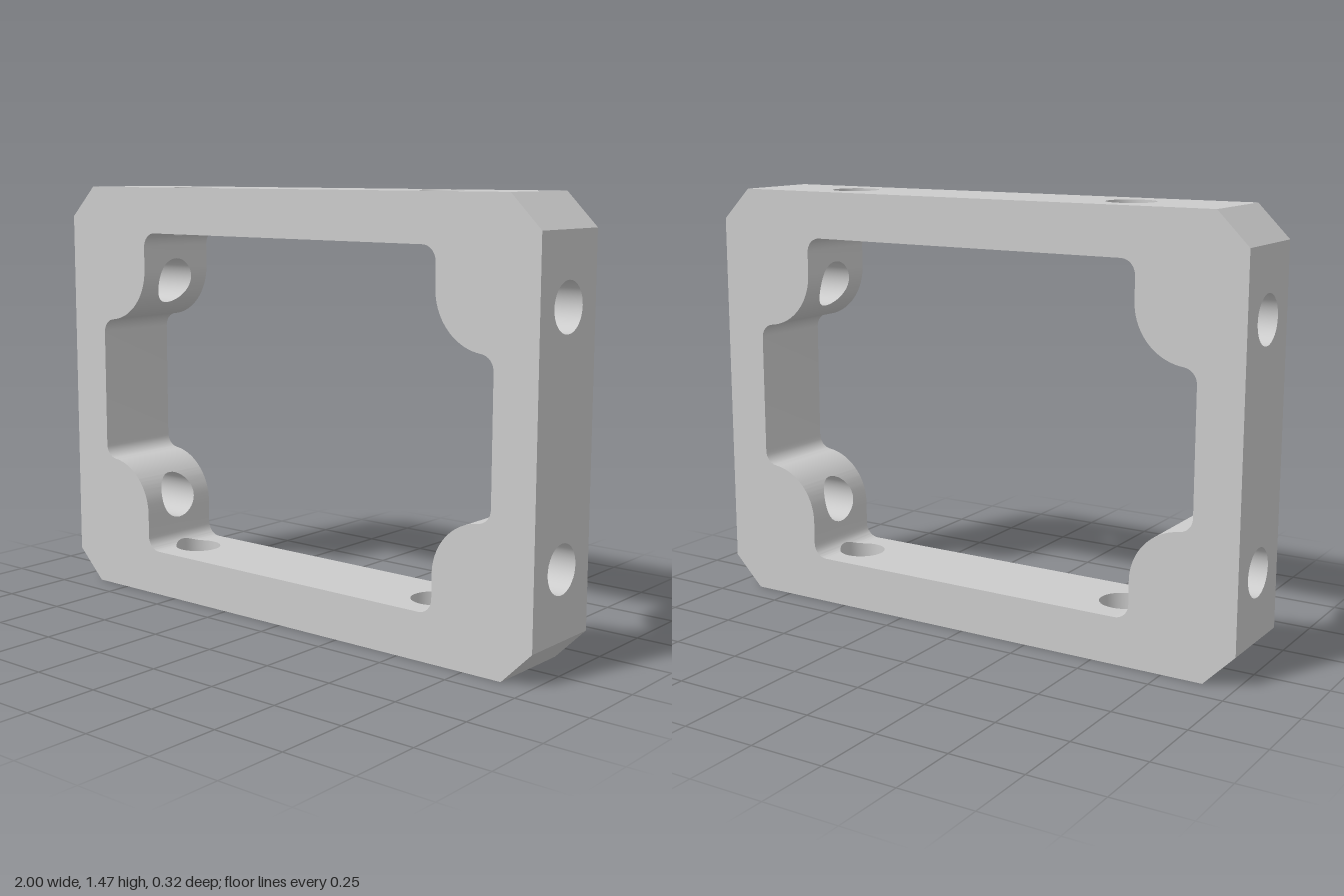
import * as THREE from 'three';
import { toCreasedNormals } from 'three/addons/utils/BufferGeometryUtils.js';

const MID = 0.735;      // half height; profiles are drawn about the centre
const DEPTH = 0.158;    // half thickness
const R = 0.081;        // bolt hole radius
const STEPS = 36;
const HOLE_AT = [0.535, 0.398]; // hole offsets along x (top/bottom) and y (sides)

// Points of an arc, angles in degrees
function arc(cx, cy, r, from, to, n) {
  return Array.from({ length: n + 1 }, (_, i) => {
    const a = THREE.MathUtils.degToRad(from + (to - from) * i / n);
    return [cx + r * Math.cos(a), cy + r * Math.sin(a)];
  });
}

// Lower right quarter mirrored into a closed counter-clockwise loop
function mirrorLoop(quarter) {
  const q = quarter.map(([x, y]) => [x, y - MID]);
  const flip = (sx, sy) => q.map(([x, y]) => [x * sx, y * sy]);
  return [...q, ...flip(1, -1).reverse(), ...flip(-1, -1), ...flip(-1, 1).reverse()];
}

const outer = mirrorLoop([[0.892, 0], [1, 0.108]]);
const inner = mirrorLoop([
  ...arc(0.581, 0.21, 0.05, -90, 0, 8),          // window corner
  ...arc(0.819, 0.29, 0.188, 180, 95.8, 18),     // rounded lobe
  ...arc(0.795, 0.5268, 0.05, -84.2, 0, 8),      // fillet into the side
]);

// Half width in z of the bolt hole at a profile point
function holeHalfWidth(p) {
  let h = 0;
  for (const k of [0, 1]) {
    const d = Math.abs(p[k]) - HOLE_AT[k];
    h = Math.max(h, Math.sqrt(Math.max(0, R * R - d * d)));
  }
  return h < 1e-5 ? 0 : h;
}

// Cut the loop's segments where they cross the hole outlines' sample points
function splitAtHoles(loop) {
  return loop.flatMap((a, i) => {
    const b = loop[(i + 1) % loop.length];
    const cuts = [0];
    for (const k of [0, 1]) for (const s of [-1, 1]) for (let j = 0; j <= STEPS / 2; j++) {
      const v = s * HOLE_AT[k] + R * Math.cos(2 * Math.PI * j / STEPS);
      const t = (v - a[k]) / (b[k] - a[k]);
      if (Math.abs(b[k] - a[k]) > 1e-6 && t > 1e-6 && t < 1 - 1e-6) cuts.push(t);
    }
    return cuts.sort((m, n) => m - n)
      .map(t => [a[0] + (b[0] - a[0]) * t, a[1] + (b[1] - a[1]) * t]);
  });
}

function quad(out, a, b, c, d) {
  out.push(...a, ...b, ...c, ...a, ...c, ...d);
}

function toGeometry(positions) {
  const g = new THREE.BufferGeometry();
  g.setAttribute('position', new THREE.Float32BufferAttribute(positions, 3));
  return toCreasedNormals(g, 0.5);
}

// Band following a loop, leaving the bolt holes open
function wall(loop) {
  const pts = splitAtHoles(loop), out = [];
  pts.forEach((a, i) => {
    const b = pts[(i + 1) % pts.length];
    const ha = holeHalfWidth(a), hb = holeHalfWidth(b);
    quad(out, [...a, -DEPTH], [...b, -DEPTH], [...b, -hb], [...a, -ha]);
    quad(out, [...a, ha], [...b, hb], [...b, DEPTH], [...a, DEPTH]);
  });
  return toGeometry(out);
}

// Where a line along the axis meets the loop on the given side
function hit(loop, axis, v, side) {
  const k = 1 - axis;
  for (let i = 0; i < loop.length; i++) {
    const a = loop[i], b = loop[(i + 1) % loop.length];
    if (a[axis] * side <= 0 || b[axis] * side <= 0 || a[k] === b[k]) continue;
    const t = (v - a[k]) / (b[k] - a[k]);
    if (t >= 0 && t <= 1) return a[axis] + (b[axis] - a[axis]) * t;
  }
  return side;
}

// Bore of one bolt hole, trimmed to the outer and inner walls
function bore(axis, side, centre) {
  const out = [];
  const point = (loop, i) => {
    const a = 2 * Math.PI * i / STEPS;
    const v = centre + R * Math.cos(a), w = hit(loop, axis, v, side);
    return axis === 0 ? [w, v, R * Math.sin(a)] : [v, w, R * Math.sin(a)];
  };
  for (let i = 0; i < STEPS; i++) {
    const c = [point(inner, i), point(outer, i), point(outer, i + 1), point(inner, i + 1)];
    if ((axis === 0) !== (side > 0)) c.reverse();
    quad(out, ...c);
  }
  return toGeometry(out);
}

export function createModel() {
  const group = new THREE.Group();
  group.name = 'frame';
  const material = new THREE.MeshStandardMaterial({ color: 0xcccccc });
  const add = (name, geometry) => {
    const mesh = new THREE.Mesh(geometry, material);
    mesh.name = name;
    mesh.position.y = MID;
    group.add(mesh);
  };

  // Front and back faces
  const toVectors = loop => loop.map(p => new THREE.Vector2(...p));
  const shape = new THREE.Shape(toVectors(outer));
  shape.holes.push(new THREE.Path(toVectors(inner)));
  add('frontFace', new THREE.ShapeGeometry(shape).translate(0, 0, DEPTH));
  add('backFace', new THREE.ShapeGeometry(shape).translate(0, 0, DEPTH).rotateY(Math.PI));

  // Chamfered outside and lobed window
  add('outerWall', wall(outer));
  add('innerWall', wall([...inner].reverse()));

  // Two bolt holes through each of the four bars
  for (const side of [-1, 1]) for (const s of [-1, 1]) {
    add('sideBoltHole', bore(0, side, s * HOLE_AT[1]));
    add(side > 0 ? 'topBoltHole' : 'bottomBoltHole', bore(1, side, s * HOLE_AT[0]));
  }
  return group;
}
